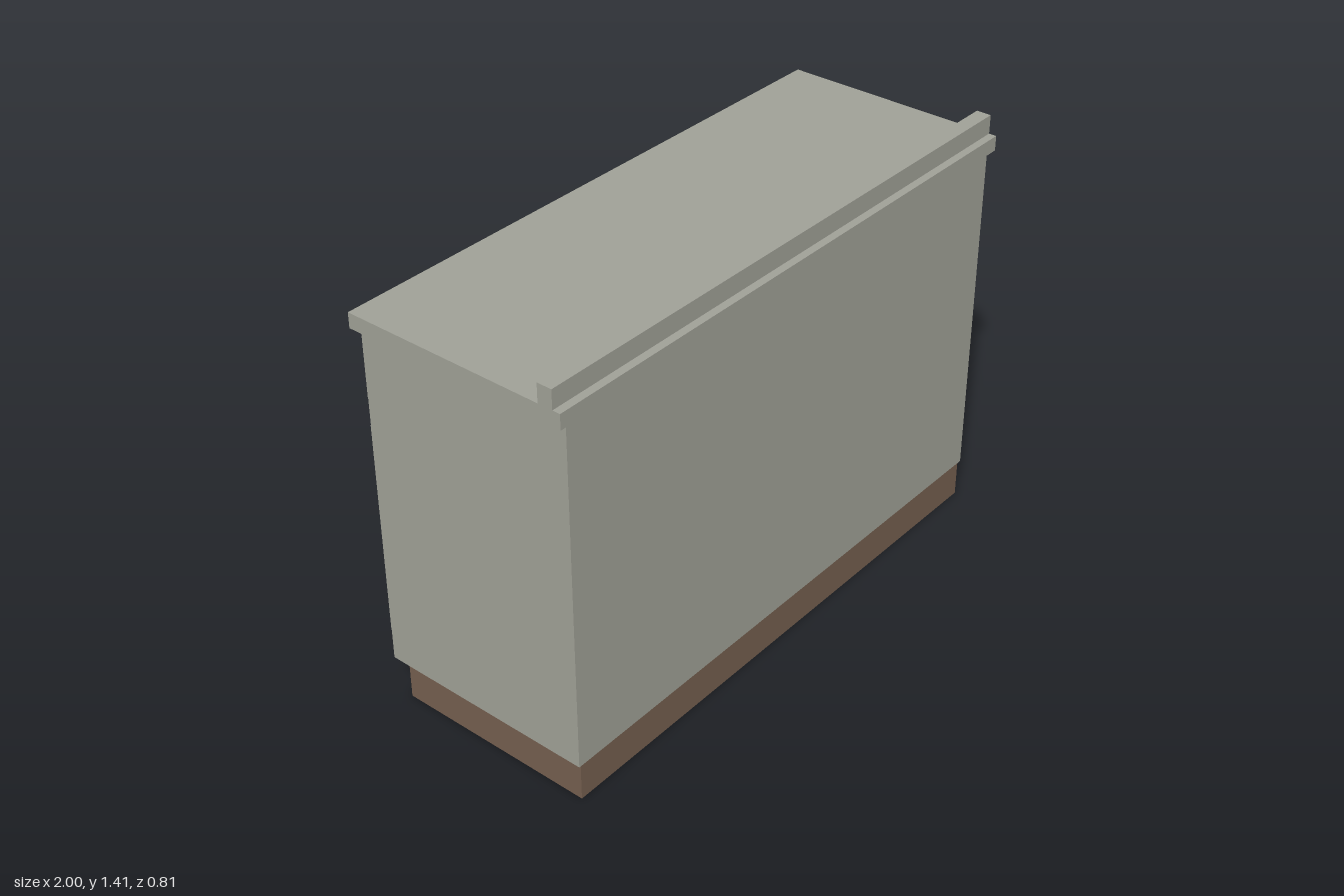
import * as THREE from 'three';

export function createModel() {
  const cabinet = new THREE.Group();
  cabinet.name = 'cabinet';
  const paint = new THREE.MeshStandardMaterial({ color: 0xa0a197 });
  paint.name = 'grey paint';
  const wood = new THREE.MeshStandardMaterial({ color: 0x755f4f });
  wood.name = 'brown wood';

  // Box given by its extents along each axis
  function box(name, material, [x0, x1], [y0, y1], [z0, z1]) {
    const mesh = new THREE.Mesh(new THREE.BoxGeometry(x1 - x0, y1 - y0, z1 - z0), material);
    mesh.position.set((x0 + x1) / 2, (y0 + y1) / 2, (z0 + z1) / 2);
    mesh.name = name;
    cabinet.add(mesh);
  }

  // Carcass
  box('plinth', wood, [-0.96, 0.96], [0, 0.13], [-0.297, 0.393]);
  box('body', paint, [-0.97, 0.97], [0.13, 1.3], [-0.35, 0.397]);
  box('worktop', paint, [-1, 1], [1.3, 1.35], [-0.362, 0.407]);
  box('upstand', paint, [-1, 1], [1.35, 1.413], [0.331, 0.381]);

  // Mirrored drawers and doors on the -z side
  for (const [side, s] of [['left', 1], ['right', -1]]) {
    const span = (a, b) => (s > 0 ? [a, b] : [-b, -a]);
    box(side + 'Drawer', paint, span(0.05, 0.95), [1.043, 1.247], [-0.375, -0.35]);
    box(side + 'DrawerHandle', wood, span(0.435, 0.565), [1.13, 1.16], [-0.402, -0.375]);
    box(side + 'Door', paint, span(0.05, 0.95), [0.21, 0.952], [-0.375, -0.35]);
    box(side + 'DoorPanel', paint, span(0.14, 0.86), [0.3, 0.863], [-0.383, -0.375]);
    box(side + 'DoorHandle', wood, span(0.117, 0.143), [0.657, 0.76], [-0.407, -0.375]);
  }
  return cabinet;
}
